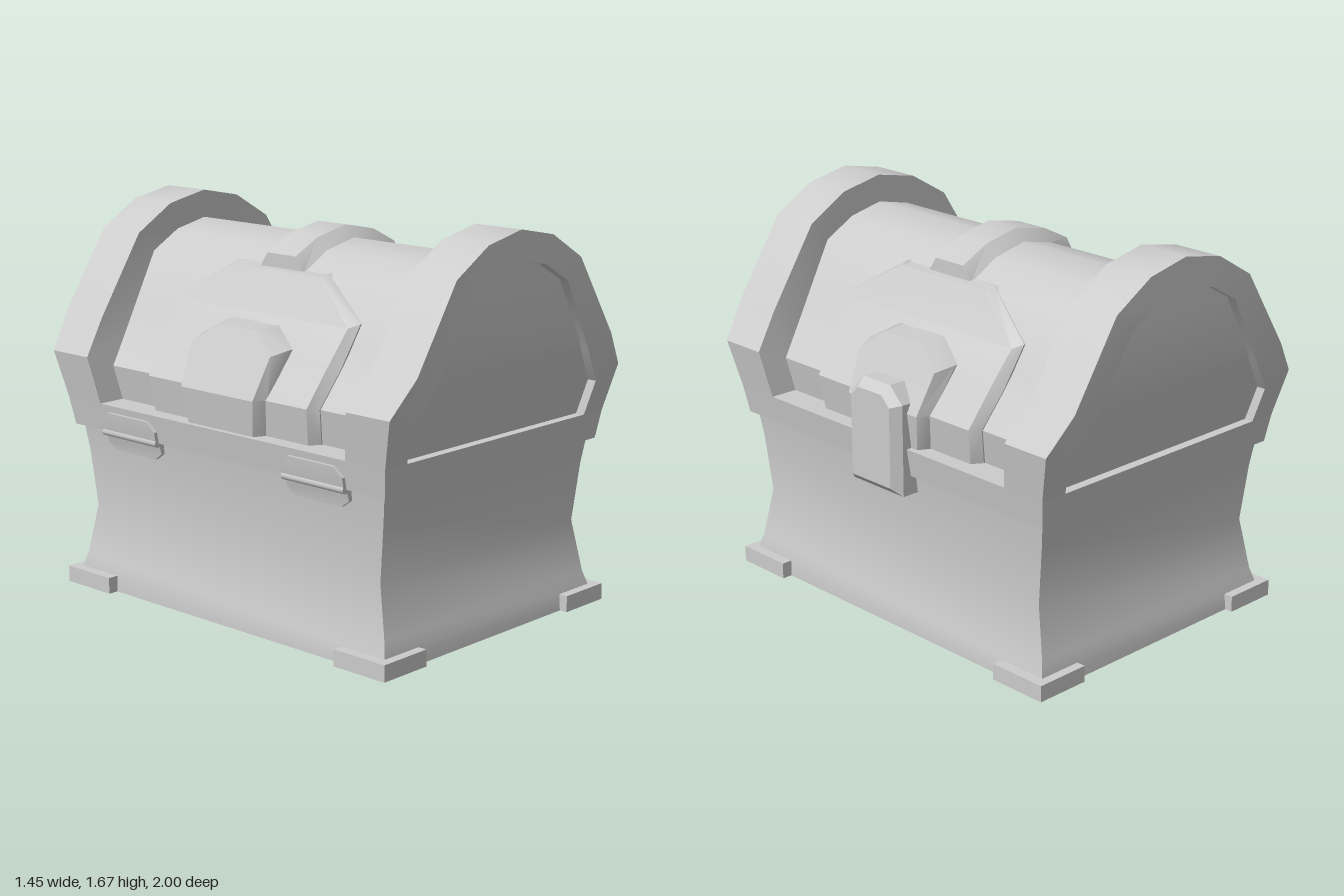
import * as THREE from 'three';
import { toCreasedNormals } from 'three/addons/utils/BufferGeometryUtils.js';

const grey = new THREE.MeshStandardMaterial({ color: 0xcccccc });

// Skin a row of equal-length corner loops, cap both ends, and turn the faces outward.
function skin(loops, crease = 0.7) {
  const n = loops[0].length, pos = loops.flat(2), idx = [];
  for (let i = 0; i < loops.length - 1; i++) {
    for (let j = 0; j < n; j++) {
      const a = i * n + j, b = i * n + (j + 1) % n;
      idx.push(a, b, a + n, b, b + n, a + n);
    }
  }
  const last = (loops.length - 1) * n;
  for (let j = 1; j < n - 1; j++) idx.push(0, j + 1, j, last, last + j, last + j + 1);
  const p = (i) => new THREE.Vector3().fromArray(pos, i * 3);
  let volume = 0;
  for (let i = 0; i < idx.length; i += 3) volume += p(idx[i]).dot(p(idx[i + 1]).cross(p(idx[i + 2])));
  if (volume < 0) idx.reverse();
  const g = new THREE.BufferGeometry();
  g.setAttribute('position', new THREE.Float32BufferAttribute(pos, 3));
  g.setIndex(idx);
  return toCreasedNormals(g, crease);
}

// Solid of stacked rectangles: [y, half width, half length]
const stack = (levels) => skin(levels.map(([y, x, z]) => [[x, y, z], [x, y, -z], [-x, y, -z], [-x, y, z]]));

// Mirror a half profile into a full arch from +x to -x
const arch = (half) => [...half, ...half.slice(0, -1).reverse().map(([x, y]) => [-x, y])];

// The chest ends lean inward below y = 1.18
const lean = (y) => Math.max(0, 1.18 - y) / 0.35;
const endZ = (y) => 1 - 0.09 * lean(y);
const innerZ = (y) => 0.77 - 0.065 * lean(y);

const outerArch = [[0.68, 0.83], [0.715, 1.03], [0.605, 1.18], [0.385, 1.52], [0.2, 1.63], [0, 1.67]];
const barrelArch = [[0.555, 0.83], [0.58, 0.975], [0.475, 1.12], [0.3, 1.435], [0.16, 1.515], [0, 1.55]];

// Raised plate: rows of [x, y, half width] for its foot and for its face
function plate(foot, face, side) {
  return skin(foot.map(([x, y, w], i) => {
    const [fx, fy, fw] = face[i];
    const back = x - 0.1;
    return [[back * side, y, w], [x * side, y, w], [fx * side, fy, fw],
      [fx * side, fy, -fw], [x * side, y, -w], [back * side, y, -w]];
  }), 0.5);
}

export function createModel() {
  const model = new THREE.Group();
  model.name = 'treasureChest';
  const chest = new THREE.Group();
  chest.name = 'chest';
  chest.position.x = -0.015;
  model.add(chest);
  const add = (name, geometry) => {
    const mesh = new THREE.Mesh(geometry, grey);
    mesh.name = name;
    chest.add(mesh);
    return mesh;
  };

  // Waisted box and the rim of the lid
  add('body', stack([[0, 0.65, 0.89], [0.07, 0.648, 0.885], [0.13, 0.63, 0.867],
    [0.35, 0.605, 0.822], [0.6, 0.62, 0.85], [0.72, 0.635, 0.868]]));
  add('lidRim', stack([[0.71, 0.66, 0.892], [0.83, 0.68, 0.91]]));

  // Corner feet
  for (const x of [-1, 1]) for (const z of [-1, 1]) {
    add('foot', new THREE.BoxGeometry(0.245, 0.07, 0.265)).position.set(x * 0.5725, 0.035, z * 0.7925);
  }

  // Rounded lid with recessed end panels
  add('lidBarrel', stack([...barrelArch.slice(0, 2), [0.475, 1.12], [0.4375, 1.18], ...barrelArch.slice(3)]
    .map(([x, y]) => [y, x, endZ(y) - 0.04])));

  // Heavy arches at both ends of the lid
  const inner = arch(barrelArch);
  for (const s of [-1, 1]) {
    add('endArch', skin(arch(outerArch).map(([x, y], i) => {
      const [ix, iy] = inner[i];
      return [[x, y, s * endZ(y)], [x, y, s * innerZ(y)], [ix, iy, s * innerZ(iy)], [ix, iy, s * endZ(iy)]];
    })));
  }

  // Chamfered strap over the crown
  const strapTop = arch([[0.3, 1.5], [0.17, 1.565], [0, 1.6]]);
  add('crownStrap', skin(arch(barrelArch.slice(3)).map(([x, y], i) => {
    const [tx, ty] = strapTop[i];
    return [[x, y - 0.04, 0.125], [x, y, 0.125], [tx, ty, 0.08],
      [tx, ty, -0.08], [x, y, -0.125], [x, y - 0.04, -0.125]];
  })));

  // Two layers of plating on each long side
  for (const s of [-1, 1]) {
    add('largePlate', plate(
      [[0.3, 1.45, 0.26], [0.385, 1.29, 0.515], [0.48, 1.12, 0.498], [0.585, 0.975, 0.484], [0.56, 0.825, 0.47]],
      [[0.335, 1.44, 0.245], [0.425, 1.275, 0.485], [0.525, 1.13, 0.468], [0.628, 0.98, 0.454], [0.605, 0.825, 0.44]], s));
    add('smallPlate', plate(
      [[0.485, 1.245, 0.125], [0.51, 1.17, 0.255], [0.62, 0.98, 0.235], [0.595, 0.825, 0.215]],
      [[0.555, 1.235, 0.11], [0.595, 1.15, 0.225], [0.676, 0.98, 0.205], [0.655, 0.825, 0.185]], s));
  }

  // Latch: a chamfered tongue on the +x side
  const tongue = (x, w, low, high, cut) => [[x, low, w], [x, high - cut, w], [x, high, w - cut],
    [x, high, cut - w], [x, high - cut, -w], [x, low, -w]];
  add('latch', skin([tongue(0.58, 0.15, 0.63, 1.09, 0.07), tongue(0.7, 0.15, 0.63, 1.09, 0.07),
    tongue(0.74, 0.115, 0.667, 1.055, 0.045)], 0.3));

  // Hinges on the -x side: two tapered leaves and a pin
  for (const z of [-0.53, 0.53]) {
    const leaf = (y, x, w) => [[-x, y, z + w], [-x, y, z - w], [-0.6, y, z - w], [-0.6, y, z + w]];
    add('hingeUpperLeaf', skin([leaf(0.71, 0.675, 0.165), leaf(0.76, 0.685, 0.165), leaf(0.8, 0.69, 0.12)], 0.3));
    add('hingeLowerLeaf', skin([leaf(0.63, 0.64, 0.12), leaf(0.66, 0.645, 0.165), leaf(0.71, 0.66, 0.165)], 0.3));
    const pin = add('hingePin', new THREE.CylinderGeometry(0.018, 0.018, 0.33, 8));
    pin.rotation.x = Math.PI / 2;
    pin.position.set(-0.664, 0.71, z);
  }

  return model;
}
